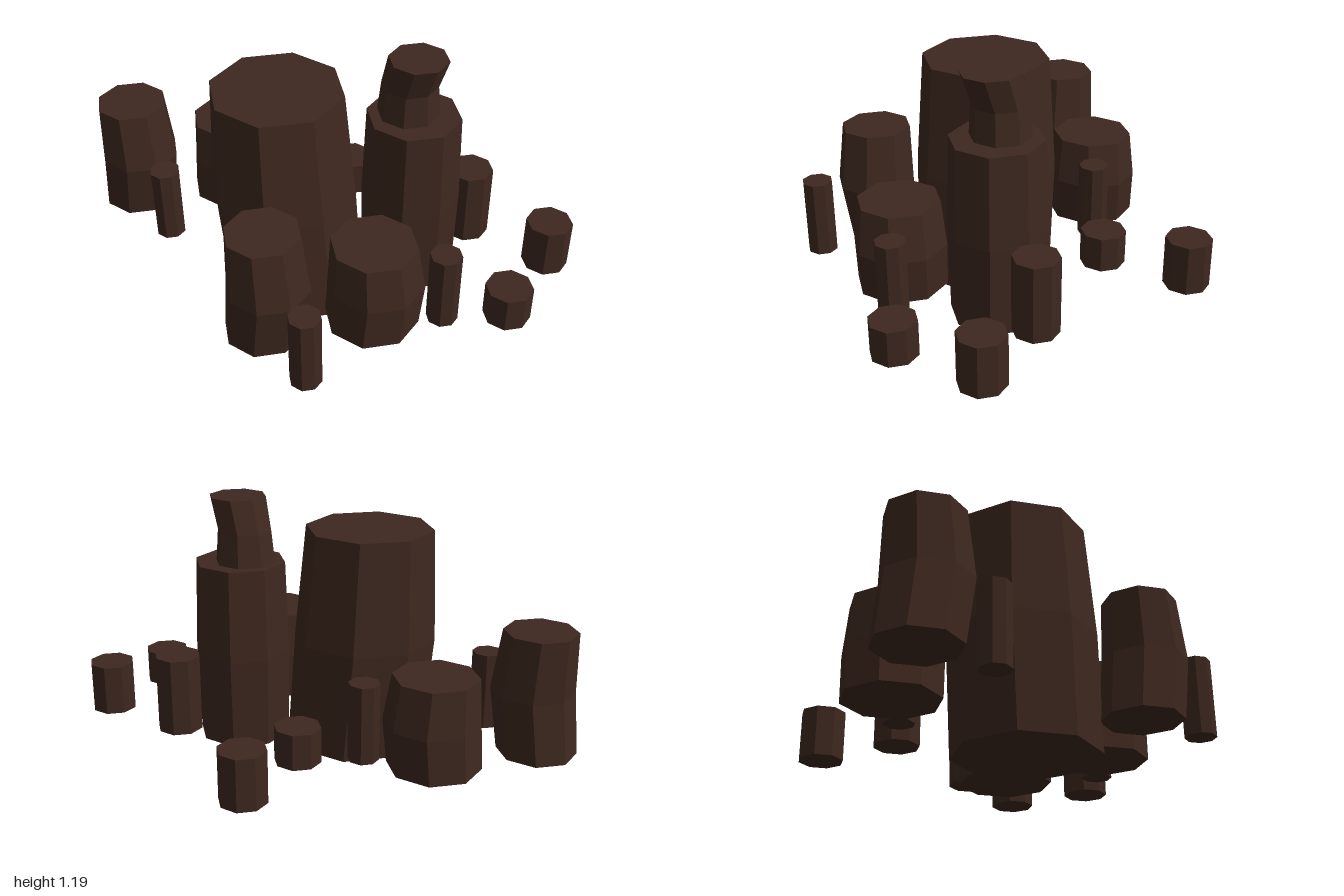
import * as THREE from 'three';

const bark = new THREE.MeshStandardMaterial({ color: 0x3e281f, flatShading: true });

// Eight-sided column through rings of [x, y, z, radius], listed from the bottom up
function column(name, rings) {
  const steps = rings.length - 1;
  const geo = new THREE.CylinderGeometry(1, 1, 1, 8, steps);
  geo.rotateY(-0.045);
  const pos = geo.attributes.position;
  for (let i = 0; i < pos.count; i++) {
    const [x, y, z, r] = rings[Math.round((pos.getY(i) + 0.5) * steps)];
    pos.setXYZ(i, x + pos.getX(i) * r, y, z + pos.getZ(i) * r);
  }
  geo.computeVertexNormals();
  const mesh = new THREE.Mesh(geo, bark);
  mesh.name = name;
  return mesh;
}

const peg = (name, x, z, r, top) => column(name, [[x, 0.13, z, r], [x, top, z, r]]);

// Outer columns and pegs, which occur once at the back and once at the front
function cluster(name) {
  const group = new THREE.Group();
  group.name = name;
  group.add(
    column('outerColumn', [
      [-0.605, 0.13, -0.825, 0.178], [-0.6, 0.41, -0.785, 0.185], [-0.605, 0.69, -0.805, 0.163]]),
    column('innerColumn', [
      [-0.168, 0.11, -0.63, 0.21], [-0.155, 0.32, -0.62, 0.214], [-0.165, 0.53, -0.628, 0.19]]),
    peg('thinPegLeft', -0.625, -0.48, 0.07, 0.49),
    peg('thinPegRight', 0.065, -0.427, 0.07, 0.49),
    peg('shortPeg', 0.305, -0.27, 0.105, 0.295),
    peg('mediumPeg', 0.69, -0.425, 0.105, 0.365));
  return group;
}

export function createModel() {
  const model = new THREE.Group();
  model.name = 'columnCluster';

  // Main column, tall column and its bent chimney
  model.add(
    column('mainColumn', [
      [-0.24, 0, 0.013, 0.327], [-0.262, 0.52, -0.025, 0.332], [-0.272, 1.04, -0.04, 0.296]]),
    column('tallColumn', [
      [0.217, 0.05, 0.287, 0.215], [0.22, 0.47, 0.285, 0.223], [0.22, 0.895, 0.287, 0.209]]),
    column('bentChimney', [
      [0.21, 0.895, 0.258, 0.137], [0.21, 1.04, 0.262, 0.124], [0.21, 1.19, 0.312, 0.13]]),
    peg('sidePeg', 0.54, 0.34, 0.105, 0.49));

  // Repeated clusters
  const front = cluster('frontCluster');
  front.position.set(-0.01, 0, 1.16);
  model.add(cluster('backCluster'), front);
  return model;
}
